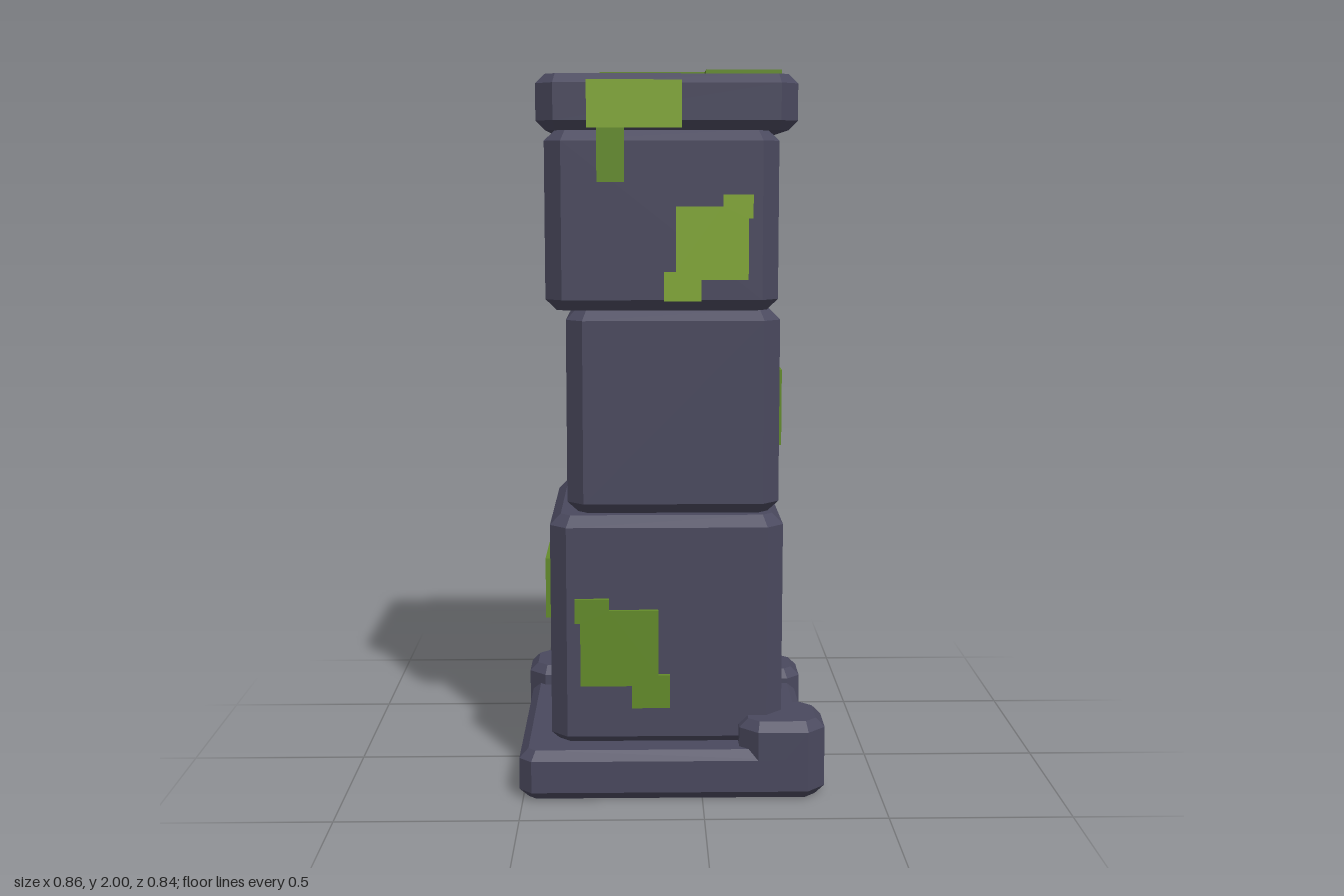
import * as THREE from 'three';
import { ConvexGeometry } from 'three/addons/geometries/ConvexGeometry.js';

const mat = (name, color, flatShading = true) => {
  const m = new THREE.MeshStandardMaterial({ color, flatShading });
  m.name = name;
  return m;
};

// Box with cut upright corners (c) and bevelled top and bottom rims (b)
function chamferBox([x0, x1], [y0, y1], [z0, z1], c = 0.046, b = 0.025) {
  const points = [];
  const ring = (y, inset, cut) => {
    const hx = (x1 - x0) / 2 - inset, hz = (z1 - z0) / 2 - inset;
    const mx = (x0 + x1) / 2, mz = (z0 + z1) / 2;
    for (const sx of [-1, 1]) for (const sz of [-1, 1]) {
      points.push(new THREE.Vector3(mx + sx * hx, y, mz + sz * (hz - cut)));
      points.push(new THREE.Vector3(mx + sx * (hx - cut), y, mz + sz * hz));
    }
  };
  ring(y0, b, c * 0.6);
  ring(y0 + b, 0, c);
  ring(y1 - b, 0, c);
  ring(y1, b, c * 0.6);
  return new ConvexGeometry(points);
}

// Thin plate with a stepped outline, extruded along +z
function plate(outline, depth) {
  const shape = new THREE.Shape(outline.map(([x, y]) => new THREE.Vector2(x, y)));
  return new THREE.ExtrudeGeometry(shape, { depth, bevelEnabled: false });
}

function box([x0, x1], [y0, y1], [z0, z1]) {
  return new THREE.BoxGeometry(x1 - x0, y1 - y0, z1 - z0)
    .translate((x0 + x1) / 2, (y0 + y1) / 2, (z0 + z1) / 2);
}

export function createModel() {
  const stone = mat('stone', 0x4a495e);
  const moss = mat('darkMoss', 0x638b2a);
  const lightMoss = mat('lightMoss', 0x81a735);
  const teal = mat('mushroomTeal', 0x40bccb);
  const pale = mat('mushroomPale', 0xbcc2b8);

  const model = new THREE.Group();
  model.name = 'mossyPillar';
  const add = (name, geometry, material, parent = model) => {
    const mesh = new THREE.Mesh(geometry, material);
    mesh.name = name;
    parent.add(mesh);
    return mesh;
  };

  // Base slab and its corner stones
  add('baseSlab', chamferBox([-0.51, 0.314], [0, 0.14], [-0.457, 0.366], 0.035), stone);
  add('backRightCornerStone', chamferBox([-0.52, -0.305], [0, 0.196], [-0.475, -0.26], 0.05), stone);
  add('backLeftCornerStone', chamferBox([0.136, 0.33], [0, 0.18], [-0.457, -0.26], 0.04), stone);
  add('frontLeftCornerStone', chamferBox([0.104, 0.343], [0, 0.22], [0.147, 0.366], 0.05), stone);

  // Stacked blocks and capstone
  add('lowerBlock', chamferBox([-0.423, 0.227], [0.13, 0.788], [-0.365, 0.286], 0.046, 0.03), stone);
  add('middleBlock', chamferBox([-0.375, 0.216], [0.788, 1.357], [-0.35, 0.254], 0.046, 0.03), stone);
  add('upperBlock', chamferBox([-0.428, 0.206], [1.357, 1.842], [-0.344, 0.294], 0.046, 0.03), stone);
  add('capstone', chamferBox([-0.449, 0.254], [1.84, 1.988], [-0.394, 0.306], 0.048), stone);

  // Moss on top of the capstone
  const top = add('topMoss', plate([
    [-0.322, -0.339], [-0.161, -0.339], [-0.161, -0.228], [0.13, -0.228],
    [0.13, 0.03], [0.211, 0.03], [0.211, 0.25], [0.008, 0.25],
    [0.008, 0.139], [-0.28, 0.139], [-0.28, -0.158], [-0.322, -0.158],
  ], 0.014), moss);
  top.rotation.x = Math.PI / 2;
  top.position.y = 2;

  // Moss on the front faces
  add('capstoneMoss', box([-0.312, -0.058], [1.845, 1.97], [0.304, 0.32]), lightMoss);
  add('mossDrip', box([-0.286, -0.212], [1.703, 1.845], [0.29, 0.304]), moss);
  add('upperFrontMoss', plate([
    [-0.074, 1.638], [0.053, 1.638], [0.053, 1.67], [0.134, 1.67],
    [0.134, 1.606], [0.122, 1.606], [0.122, 1.442], [-0.005, 1.442],
    [-0.005, 1.384], [-0.106, 1.384], [-0.106, 1.463], [-0.074, 1.463],
  ], 0.014), lightMoss).position.z = 0.29;
  add('lowerFrontMoss', plate([
    [-0.354, 0.558], [-0.259, 0.558], [-0.259, 0.526], [-0.122, 0.526],
    [-0.122, 0.341], [-0.09, 0.341], [-0.09, 0.246], [-0.196, 0.246],
    [-0.196, 0.31], [-0.339, 0.31], [-0.339, 0.49], [-0.354, 0.49],
  ], 0.016).translate(0, 0, 0.283), moss);

  // Moss on the sides
  add('middleLeftMoss', box([0.21, 0.228], [0.965, 1.18], [-0.048, 0.143]), moss);
  add('lowerLeftMoss', box([0.222, 0.24], [0.225, 0.373], [-0.28, -0.063]), lightMoss);
  add('lowerRightMoss', box([-0.438, -0.42], [0.484, 0.655], [0, 0.21]), moss);

  // Mushroom cluster: position, cap width, cap bottom and top, stem width, spot width
  const mushrooms = [
    [0.4, 0.346, 0.115, 0.128, 0.185, 0.045, 0.04],
    [0.467, 0.414, 0.083, 0.062, 0.112, 0.036, 0.03],
    [0.346, 0.425, 0.071, 0.044, 0.083, 0.028, 0.025],
  ];
  mushrooms.forEach(([x, z, w, y0, y1, stem, spot], i) => {
    const g = new THREE.Group();
    g.name = `mushroom${i + 1}`;
    g.position.set(x, 0, z);
    g.rotation.y = -0.43;
    const h = w / 2, s = stem / 2, d = spot / 2, o = w * 0.13;
    add('mushroomCap', chamferBox([-h, h], [y0, y1], [-h, h], w * 0.16, w * 0.11), teal, g);
    add('mushroomStem', box([-s, s], [0, y0 + 0.01], [-s, s]), pale, g);
    add('mushroomSpot', box([o - d, o + d], [y1 - 0.002, y1 + 0.004], [-o - d, -o + d]), pale, g);
  });

  return model;
}
